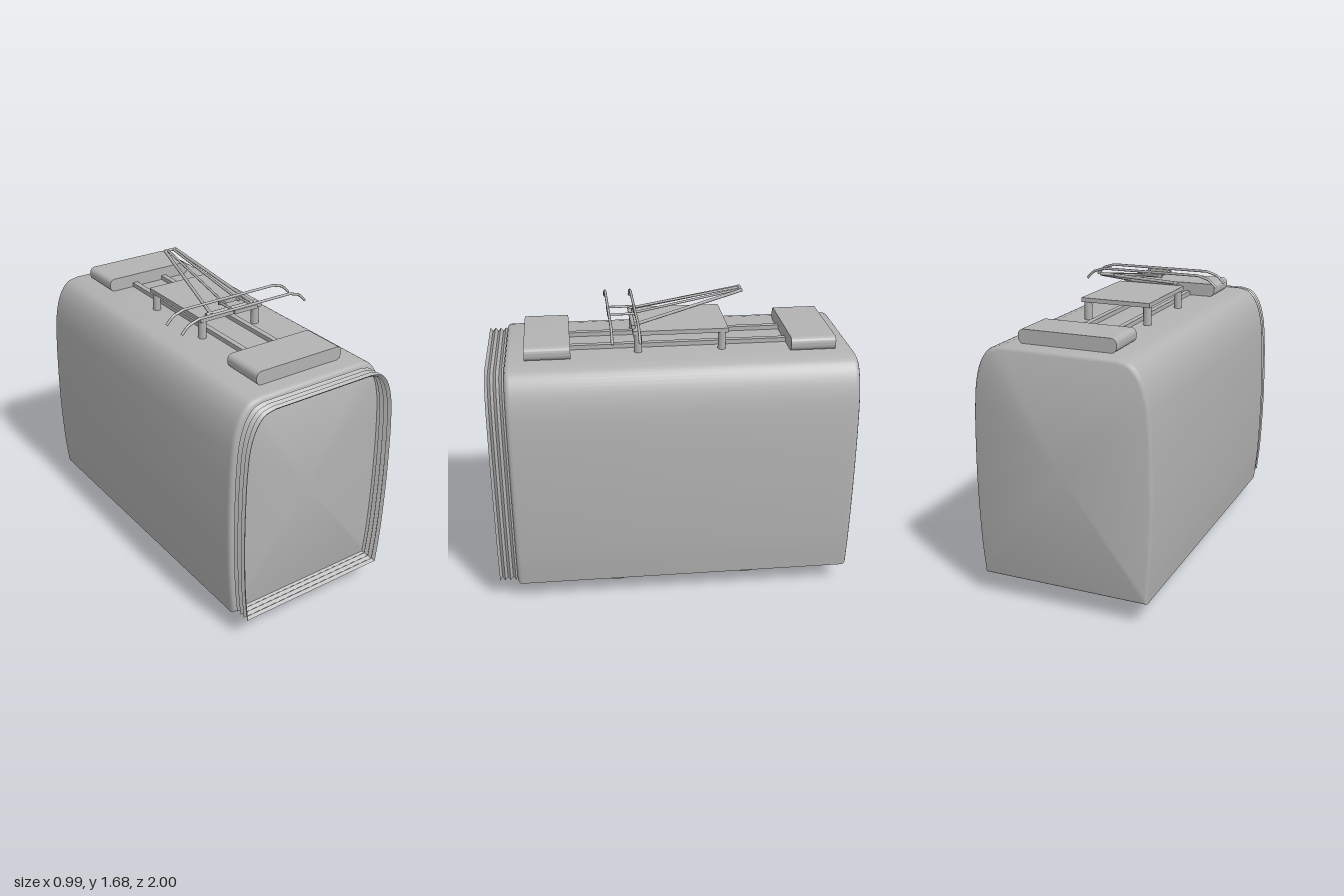
import * as THREE from 'three';
import { toCreasedNormals } from 'three/addons/utils/BufferGeometryUtils.js';

const grey = new THREE.MeshStandardMaterial({ color: 0xb3b3b3, side: THREE.DoubleSide });
grey.name = 'plain grey';

// Half outline of the car body, from the bottom edge up to the roof
const half = new THREE.CatmullRomCurve3([
  [0.468, 0.12], [0.485, 0.3], [0.496, 0.6], [0.496, 0.8], [0.488, 1.05],
  [0.47, 1.21], [0.434, 1.315], [0.385, 1.372], [0.32, 1.39],
].map(([x, y]) => new THREE.Vector3(x, y, 0)), false, 'centripetal').getPoints(32);
const outline = [...half, ...half.slice().reverse().map(p => new THREE.Vector3(-p.x, p.y, 0))];

// Skin through copies of the outline; each ring is [z, inset]
function loft(rings, capped, crease) {
  const pos = [], idx = [], n = outline.length, midY = 0.755;
  for (const [z, inset] of rings) {
    for (const p of outline) {
      pos.push(p.x * (1 - inset / 0.496), midY + (p.y - midY) * (1 - inset / 0.635), z);
    }
  }
  for (let i = 0; i < rings.length - 1; i++) {
    for (let j = 0; j < n; j++) {
      const k = (j + 1) % n, a = i * n + j, b = i * n + k;
      idx.push(a, b, b + n, a, b + n, a + n);
    }
  }
  if (capped) {
    const back = pos.length / 3, front = back + 1, last = (rings.length - 1) * n;
    pos.push(0, midY, rings[0][0], 0, midY, rings[rings.length - 1][0]);
    for (let j = 0; j < n; j++) {
      const k = (j + 1) % n;
      idx.push(back, k, j, front, last + j, last + k);
    }
  }
  const g = new THREE.BufferGeometry();
  g.setAttribute('position', new THREE.Float32BufferAttribute(pos, 3));
  g.setIndex(idx);
  return toCreasedNormals(g, crease);
}

export function createModel() {
  const model = new THREE.Group();
  model.name = 'railCar';

  const add = (name, geometry, x = 0, y = 0, z = 0, parent = model) => {
    const m = new THREE.Mesh(geometry, grey);
    m.name = name;
    m.position.set(x, y, z);
    parent.add(m);
    return m;
  };
  const box = (name, w, h, d, x, y, z, parent) =>
    add(name, new THREE.BoxGeometry(w, h, d), x, y, z, parent);
  // Round bar between two points
  const rod = (name, from, to, r, parent, sides = 8) => {
    const a = new THREE.Vector3(...from), b = new THREE.Vector3(...to);
    const m = add(name, new THREE.CylinderGeometry(r, r, a.distanceTo(b), sides), 0, 0, 0, parent);
    m.position.copy(a).add(b).multiplyScalar(0.5);
    m.quaternion.setFromUnitVectors(new THREE.Vector3(0, 1, 0), b.sub(a).normalize());
    return m;
  };

  // Body with softened ends, and an open folded gangway at the front
  add('body', loft([
    [-1, 0.02], [-0.994, 0.008], [-0.985, 0.002], [-0.972, 0],
    [0.872, 0], [0.885, 0.002], [0.894, 0.008], [0.9, 0.02],
  ], true, 0.7));
  const folds = [];
  for (let i = 0; i <= 7; i++) folds.push([0.895 + i * 0.015, i % 2 ? 0.018 : 0.033]);
  add('gangwayBellows', loft(folds, false, 0.5));

  // Roof boxes with rounded long edges
  const w = 0.27, h = 0.0375, r = 0.03;
  const s = new THREE.Shape();
  s.moveTo(-w + r, -h);
  s.lineTo(w - r, -h);
  s.absarc(w - r, -h + r, r, -Math.PI / 2, 0);
  s.absarc(w - r, h - r, r, 0, Math.PI / 2);
  s.absarc(-w + r, h - r, r, Math.PI / 2, Math.PI);
  s.absarc(-w + r, -h + r, r, Math.PI, Math.PI * 1.5);
  const roofBox = toCreasedNormals(
    new THREE.ExtrudeGeometry(s, { depth: 0.247, bevelEnabled: false, curveSegments: 6 }), 0.7);
  for (const z of [-0.898, 0.546]) add('roofBox', roofBox, 0, 1.427, z);

  // Roof rails, and the raised platform on four posts
  for (const side of [-1, 1]) {
    box('roofRail', 0.031, 0.034, 1.22, side * 0.1, 1.397, -0.05);
    for (const z of [0.178, -0.283]) {
      rod('platformPost', [side * 0.175, 1.38, z], [side * 0.175, 1.5, z], 0.022, model, 14);
    }
  }
  box('platform', 0.4, 0.024, 0.52, 0, 1.502, -0.055);

  // Current collector: arms leaning back, then forward to the head
  const collector = new THREE.Group();
  collector.name = 'currentCollector';
  model.add(collector);
  rod('baseBar', [-0.165, 1.526, 0.2], [0.165, 1.526, 0.2], 0.012, collector);
  rod('kneeBar', [-0.038, 1.672, -0.405], [0.038, 1.672, -0.405], 0.009, collector);
  for (const side of [-1, 1]) {
    rod('lowerArm', [side * 0.138, 1.526, 0.21], [side * 0.034, 1.672, -0.41], 0.009, collector);
    rod('upperArm', [side * 0.045, 1.563, 0.21], [side * 0.018, 1.672, -0.4], 0.007, collector);
    rod('headLink', [side * 0.062, 1.567, 0.18], [side * 0.062, 1.567, 0.33], 0.007, collector);
  }
  for (const z of [0.183, 0.328]) {
    box('headBar', 0.146, 0.022, 0.012, 0, 1.567, z, collector);
    const path = new THREE.CurvePath();
    const pts = [[-0.402, 1.522], [-0.362, 1.563], [-0.295, 1.584],
      [0.295, 1.584], [0.362, 1.563], [0.402, 1.522]].map(([x, y]) => new THREE.Vector3(x, y, z));
    for (let i = 1; i < pts.length; i++) path.add(new THREE.LineCurve3(pts[i - 1], pts[i]));
    add('contactStrip', new THREE.TubeGeometry(path, 40, 0.0075, 8), 0, 0, 0, collector);
  }

  // Underframe plate, axles and flanged wheels
  box('underframe', 0.74, 0.012, 1.1, 0, 0.12, -0.05);
  const wheel = new THREE.LatheGeometry([
    [0, 0.0], [0.122, 0.008], [0.125, 0.014], [0.121, 0.021],
    [0.11, 0.026], [0.104, 0.05], [0.09, 0.055], [0, 0.046],
  ].map(([rad, y]) => new THREE.Vector2(rad, y)), 16);
  const wheelGeometry = toCreasedNormals(wheel, 0.6);
  for (const z of [0.325, -0.43]) {
    rod('axle', [-0.3, 0.125, z], [0.3, 0.125, z], 0.016, model, 10);
    for (const side of [-1, 1]) {
      add('wheel', wheelGeometry, side * 0.287, 0.125, z).rotation.z = -side * Math.PI / 2;
    }
  }
  return model;
}
